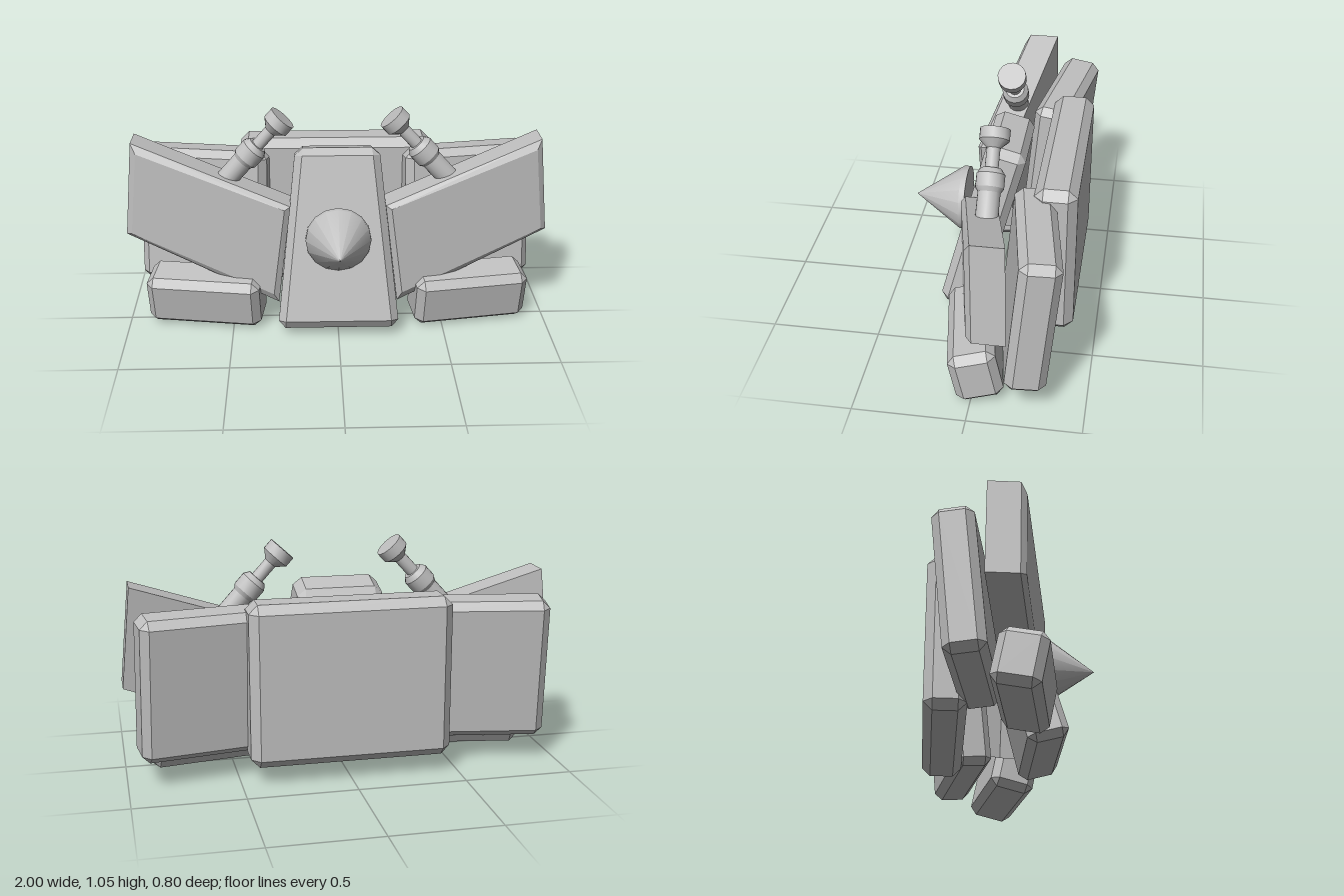
import * as THREE from 'three';
import { toCreasedNormals } from 'three/addons/utils/BufferGeometryUtils.js';
import { ConvexGeometry } from 'three/addons/geometries/ConvexGeometry.js';

const V = (x, y, z) => new THREE.Vector3(x, y, z);

// Box with chamfered edges; taper changes the width linearly from bottom to top
function chamferBox(w, h, d, c, taper = 0) {
  const pts = [];
  for (const sx of [-1, 1]) for (const sy of [-1, 1]) for (const sz of [-1, 1]) {
    for (let axis = 0; axis < 3; axis++) {
      const y = sy * (h / 2 - (axis === 1 ? 0 : c));
      const half = w / 2 - taper * y / h;
      pts.push(V(
        sx * (half - (axis === 0 ? 0 : c)), y,
        sz * (d / 2 - (axis === 2 ? 0 : c))));
    }
  }
  return new ConvexGeometry(pts);
}

// Swept slanted plate with a bevelled front, for side s (+1 or -1)
function armGeometry(s) {
  const corners = [[0.28, 0.14], [1.0, 0.44], [0.955, 0.895], [0.22, 0.63]];
  const cx = 0.61, cy = 0.526;
  const edgeZ = (x) => 0.12 - (x - 0.25) * 0.2;
  const pts = [];
  for (const [x, y] of corners) {
    pts.push(V(s * x, y, edgeZ(x) - 0.142), V(s * x, y, edgeZ(x)));
    const fx = cx + (x - cx) * 0.93, fy = cy + (y - cy) * 0.88;
    pts.push(V(s * fx, fy, edgeZ(fx) + 0.022));
  }
  return new ConvexGeometry(pts);
}

export function createModel() {
  const group = new THREE.Group();
  const grey = new THREE.MeshStandardMaterial({ color: 0xc0c0c0 });
  grey.name = 'plain grey';

  const add = (name, geometry, pos = [0, 0, 0], pitch = 0, yaw = 0) => {
    const mesh = new THREE.Mesh(geometry, grey);
    mesh.name = name;
    mesh.position.set(...pos);
    mesh.rotation.set(pitch, yaw, 0, 'YXZ');
    group.add(mesh);
    return mesh;
  };

  // Centre body, leaning back
  add('body', chamferBox(0.48, 0.848, 0.19, 0.035, 0.09), [0, 0.447, 0.051], -0.26);

  // Back panel
  add('backPanel', chamferBox(0.92, 0.745, 0.19, 0.04), [0, 0.463, -0.305]);

  // Pointed nose with a short rim
  const nose = [[0, -0.04], [0.152, -0.04], [0.152, -0.013], [0, 0.21]];
  const noseGeo = new THREE.LatheGeometry(nose.map(([r, y]) => new THREE.Vector2(r, y)), 16);
  add('noseCone', toCreasedNormals(noseGeo, 0.6), [0, 0.48, 0.19], Math.PI / 2);

  // Stepped barrel profile, from the buried end to the tip
  const barrel = [[0, -0.4], [0.05, -0.4], [0.05, -0.28], [0.063, -0.26], [0.063, -0.2],
    [0.045, -0.175], [0.03, -0.175], [0.03, -0.085], [0.067, -0.05], [0.067, 0], [0, 0]];
  const barrelGeo = toCreasedNormals(
    new THREE.LatheGeometry(barrel.map(([r, y]) => new THREE.Vector2(r, y)), 16), 0.45);

  for (const [s, side] of [[1, 'left'], [-1, 'right']]) {
    // Slanted front plate
    add(side + 'FrontPlate', armGeometry(s));

    // Rear side panel, swept and leaning back
    add(side + 'RearPanel', chamferBox(0.62, 0.665, 0.18, 0.035),
      [s * 0.633, 0.462, -0.225], -0.096, s * 0.165);

    // Foot block, tipped forward
    add(side + 'Foot', chamferBox(0.545, 0.25, 0.21, 0.035),
      [s * 0.628, 0.142, 0.017], 0.2, s * 0.165);

    // Barrel pointing up and inwards
    const mesh = add(side + 'Barrel', barrelGeo, [s * 0.25, 1.013, -0.018]);
    mesh.rotation.set(0, 0, s * 0.735);
  }
  return group;
}
